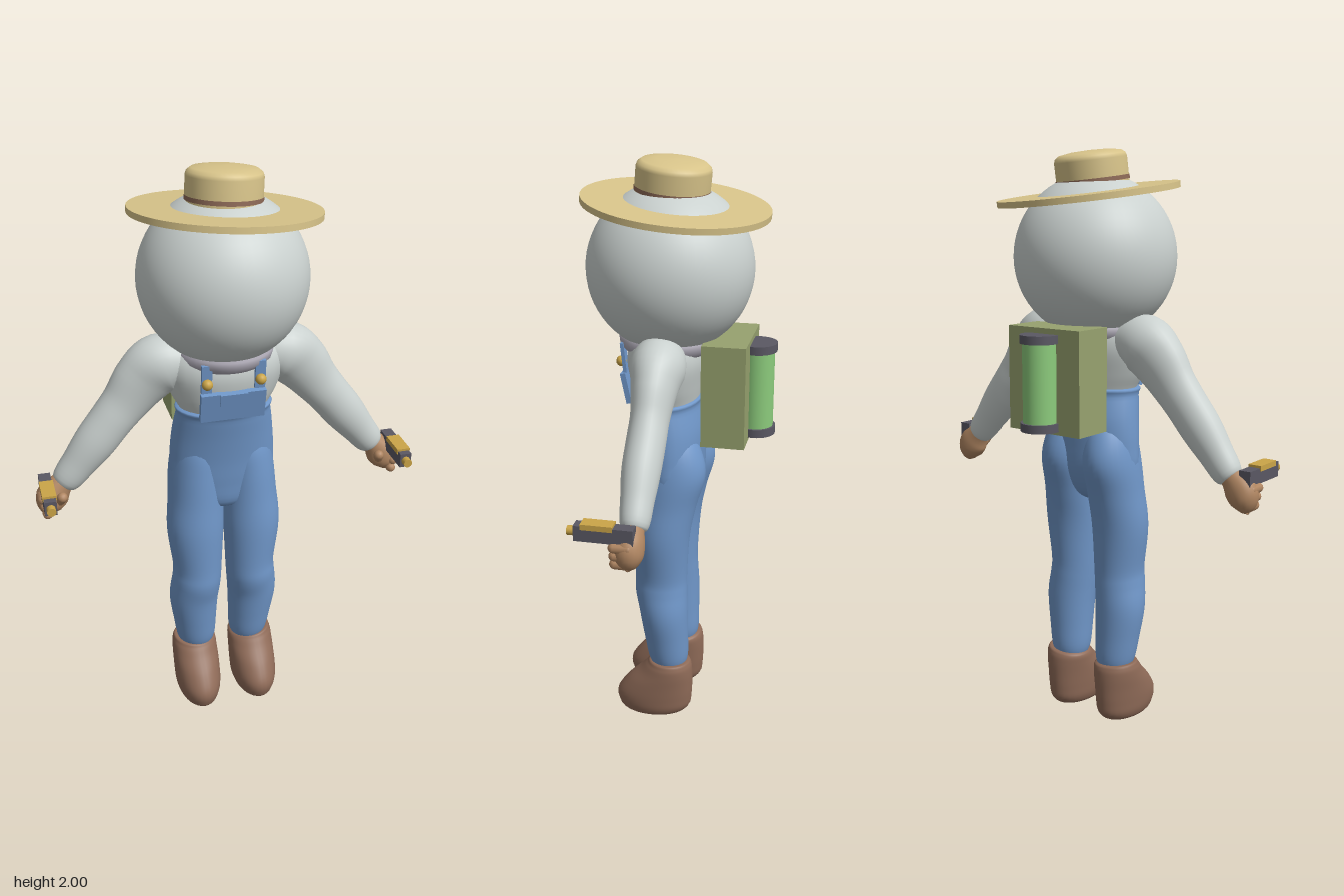
import * as THREE from 'three';

const mat = (name, color) => {
  const m = new THREE.MeshStandardMaterial({ color });
  m.name = name;
  return m;
};

export function createModel() {
  const M = {
    grey: mat('pale grey', 0xcad1cf),
    collar: mat('lavender grey', 0xb0acb8),
    denim: mat('denim blue', 0x7097c9),
    boot: mat('boot brown', 0x8f6b58),
    skin: mat('skin', 0xb08662),
    straw: mat('straw', 0xd8c48a),
    olive: mat('olive', 0x97a26f),
    glow: mat('tank green', 0x8ccb7c),
    dark: mat('dark metal', 0x5a5863),
    gold: mat('gold', 0xcba548),
  };
  const root = new THREE.Group();

  const add = (parent, name, geo, material, x = 0, y = 0, z = 0) => {
    const mesh = new THREE.Mesh(geo, material);
    mesh.name = name;
    mesh.position.set(x, y, z);
    parent.add(mesh);
    return mesh;
  };

  // Smooth skin through elliptical rings [x, y, z, radius in the xy plane, radius along z]
  const loft = (rows, side = 1, seg = 32, sub = 5) => {
    const path = new THREE.CatmullRomCurve3(
      rows.map(r => new THREE.Vector3(r[0] * side, r[1], r[2])), false, 'catmullrom');
    const radii = new THREE.CatmullRomCurve3(
      rows.map(r => new THREE.Vector3(r[3], r[4], 0)), false, 'catmullrom');
    const n = (rows.length - 1) * sub, pos = [], index = [];
    for (let i = 0; i <= n; i++) {
      const c = path.getPoint(i / n), t = path.getTangent(i / n), r = radii.getPoint(i / n);
      const len = Math.hypot(t.x, t.y) || 1;
      const a = Math.max(r.x, 0.0005), b = Math.max(r.y, 0.0005);
      for (let j = 0; j < seg; j++) {
        const w = (j / seg) * Math.PI * 2, u = a * Math.cos(w);
        pos.push(c.x + (t.y / len) * u, c.y - (t.x / len) * u, c.z + b * Math.sin(w));
        if (i === n) continue;
        const A = i * seg + j, B = i * seg + (j + 1) % seg;
        index.push(A, A + seg, B, B, A + seg, B + seg);
      }
    }
    const g = new THREE.BufferGeometry();
    g.setAttribute('position', new THREE.Float32BufferAttribute(pos, 3));
    g.setIndex(index);
    g.computeVertexNormals();
    return g;
  };
  const lathe = pts => new THREE.LatheGeometry(pts.map(p => new THREE.Vector2(...p)), 48);
  const box = (w, h, d) => new THREE.BoxGeometry(w, h, d);

  // Helmet and neck ring
  add(root, 'helmet', new THREE.SphereGeometry(0.275, 48, 32), M.grey, 0, 1.65, 0.025);
  add(root, 'collar', lathe([[0.1, 1.375], [0.145, 1.38], [0.163, 1.4], [0.166, 1.425],
    [0.15, 1.445], [0.1, 1.45]]), M.collar, 0, 0, 0.03);

  // Tilted straw hat, pivoting on the helmet centre
  const hat = new THREE.Group();
  hat.name = 'hat';
  hat.position.set(0, 1.65, 0.025);
  hat.rotation.set(-0.105, 0, -0.062);
  root.add(hat);
  add(hat, 'brim', new THREE.CylinderGeometry(0.305, 0.305, 0.02, 64), M.straw, 0, 0.207, 0);
  add(hat, 'crown', lathe([[0.121, 0.22], [0.121, 0.315], [0.117, 0.327], [0.104, 0.337],
    [0.06, 0.344], [0, 0.346]]), M.straw, -0.01, 0, 0.018);
  add(hat, 'hatBand', new THREE.CylinderGeometry(0.123, 0.123, 0.014, 48, 1, true), M.boot, -0.01, 0.25, 0.018);

  // Shirt body and dungarees
  add(root, 'shirt', loft([
    [0, 1.15, 0.03, 0.13, 0.09], [0, 1.21, 0.033, 0.15, 0.105], [0, 1.27, 0.035, 0.18, 0.118],
    [0, 1.35, 0.035, 0.205, 0.13], [0, 1.41, 0.033, 0.195, 0.118], [0, 1.45, 0.03, 0.13, 0.09],
    [0, 1.46, 0.03, 0, 0]]), M.grey);
  add(root, 'trouserHips', loft([
    [0, 0.8, 0.025, 0, 0], [0, 0.84, 0.025, 0.11, 0.07], [0, 0.93, 0.012, 0.178, 0.098],
    [0, 1.02, 0.012, 0.182, 0.106], [0, 1.11, 0.018, 0.174, 0.112], [0, 1.19, 0.032, 0.161, 0.111],
    [0, 1.218, 0.035, 0.152, 0.108], [0, 1.224, 0.035, 0, 0]]), M.denim);
  const bib = add(root, 'bib', box(0.215, 0.105, 0.018), M.denim, 0, 1.26, 0.155);
  bib.rotation.x = 0.2;
  add(bib, 'bibPocket', box(0.09, 0.045, 0.008), M.denim, 0, 0.03, 0.011);

  for (const s of [1, -1]) {
    const side = s > 0 ? 'left' : 'right';
    const limb = new THREE.Group();
    limb.name = side + 'Side';
    root.add(limb);

    // Strap with button
    const strap = add(limb, 'strap', box(0.034, 0.1, 0.012), M.denim, s * 0.088, 1.365, 0.162);
    strap.rotation.x = 0.1;
    add(limb, 'button', new THREE.SphereGeometry(0.018, 16, 12), M.gold, s * 0.088, 1.35, 0.172);

    // Trouser leg and boot
    add(limb, 'trouserLeg', loft([
      [0.1, 0.19, 0.012, 0.05, 0.05], [0.1, 0.24, 0.015, 0.07, 0.07], [0.105, 0.33, 0.022, 0.08, 0.078],
      [0.109, 0.43, 0.03, 0.089, 0.085], [0.101, 0.51, 0.04, 0.088, 0.092], [0.097, 0.58, 0.04, 0.088, 0.091],
      [0.102, 0.73, 0.036, 0.1, 0.097], [0.096, 0.85, 0.02, 0.097, 0.104], [0.09, 0.96, 0.002, 0.094, 0.115],
      [0.08, 1.05, 0.006, 0.082, 0.1], [0.07, 1.13, 0.015, 0.05, 0.06]], s), M.denim);
    add(limb, 'boot', loft([
      [0.108, 0.002, 0.08, 0, 0], [0.108, 0.012, 0.076, 0.058, 0.1], [0.108, 0.04, 0.069, 0.077, 0.132],
      [0.108, 0.085, 0.066, 0.083, 0.138], [0.108, 0.14, 0.046, 0.084, 0.12], [0.108, 0.185, 0.023, 0.083, 0.096],
      [0.107, 0.215, 0.012, 0.08, 0.08], [0.106, 0.228, 0.011, 0.066, 0.064], [0.106, 0.231, 0.011, 0, 0]], s), M.boot);

    // Sleeve from inside the chest to the wrist
    add(limb, 'sleeve', loft([
      [0.1, 1.38, 0.025, 0.06, 0.07], [0.2, 1.375, 0.022, 0.098, 0.09], [0.265, 1.325, 0.02, 0.097, 0.074],
      [0.325, 1.25, 0.02, 0.081, 0.062], [0.375, 1.19, 0.021, 0.074, 0.062], [0.435, 1.115, 0.023, 0.071, 0.061],
      [0.49, 1.045, 0.022, 0.06, 0.053], [0.545, 0.975, 0.02, 0.046, 0.042], [0.552, 0.967, 0.02, 0, 0]], s), M.grey);

    // Fist with curled fingers and thumb
    add(limb, 'hand', loft([
      [0.53, 0.99, 0.02, 0.03, 0.03], [0.56, 0.965, 0.022, 0.043, 0.038], [0.585, 0.935, 0.024, 0.055, 0.046],
      [0.602, 0.9, 0.025, 0.047, 0.044], [0.612, 0.87, 0.025, 0.02, 0.022], [0.614, 0.866, 0.025, 0, 0]], s, 20), M.skin);
    for (let i = 0; i < 3; i++) {
      const finger = add(limb, 'finger', new THREE.CapsuleGeometry(0.017, 0.045, 4, 10), M.skin,
        s * (0.625 - i * 0.006), 0.942 - i * 0.03, 0.042);
      finger.rotation.x = Math.PI / 2;
    }
    const thumb = add(limb, 'thumb', new THREE.CapsuleGeometry(0.018, 0.05, 4, 10), M.skin, s * 0.568, 0.925, 0.055);
    thumb.rotation.set(0.7, 0, s * 0.3);

    // Hand blaster pointing forward
    const blaster = new THREE.Group();
    blaster.name = side + 'Blaster';
    blaster.position.set(s * 0.61, 0.98, 0);
    limb.add(blaster);
    add(blaster, 'blasterBody', box(0.04, 0.05, 0.185), M.dark, 0, 0, 0.095);
    add(blaster, 'blasterTop', box(0.046, 0.018, 0.1), M.gold, 0, 0.024, 0.115);
    add(blaster, 'blasterGrip', box(0.03, 0.07, 0.035), M.dark, 0, -0.045, 0.03);
    const tip = add(blaster, 'blasterTip', new THREE.CylinderGeometry(0.015, 0.015, 0.03, 16), M.gold, 0, 0, 0.195);
    tip.rotation.x = Math.PI / 2;
  }

  // Backpack with glowing tank
  add(root, 'backpack', box(0.295, 0.345, 0.145), M.olive, 0, 1.2625, -0.178);
  add(root, 'tank', new THREE.CylinderGeometry(0.057, 0.057, 0.28, 32), M.glow, 0, 1.26, -0.268);
  for (const y of [1.116, 1.403])
    add(root, 'tankCap', new THREE.CylinderGeometry(0.065, 0.065, 0.028, 32), M.dark, 0, y, -0.268);

  return root;
}
